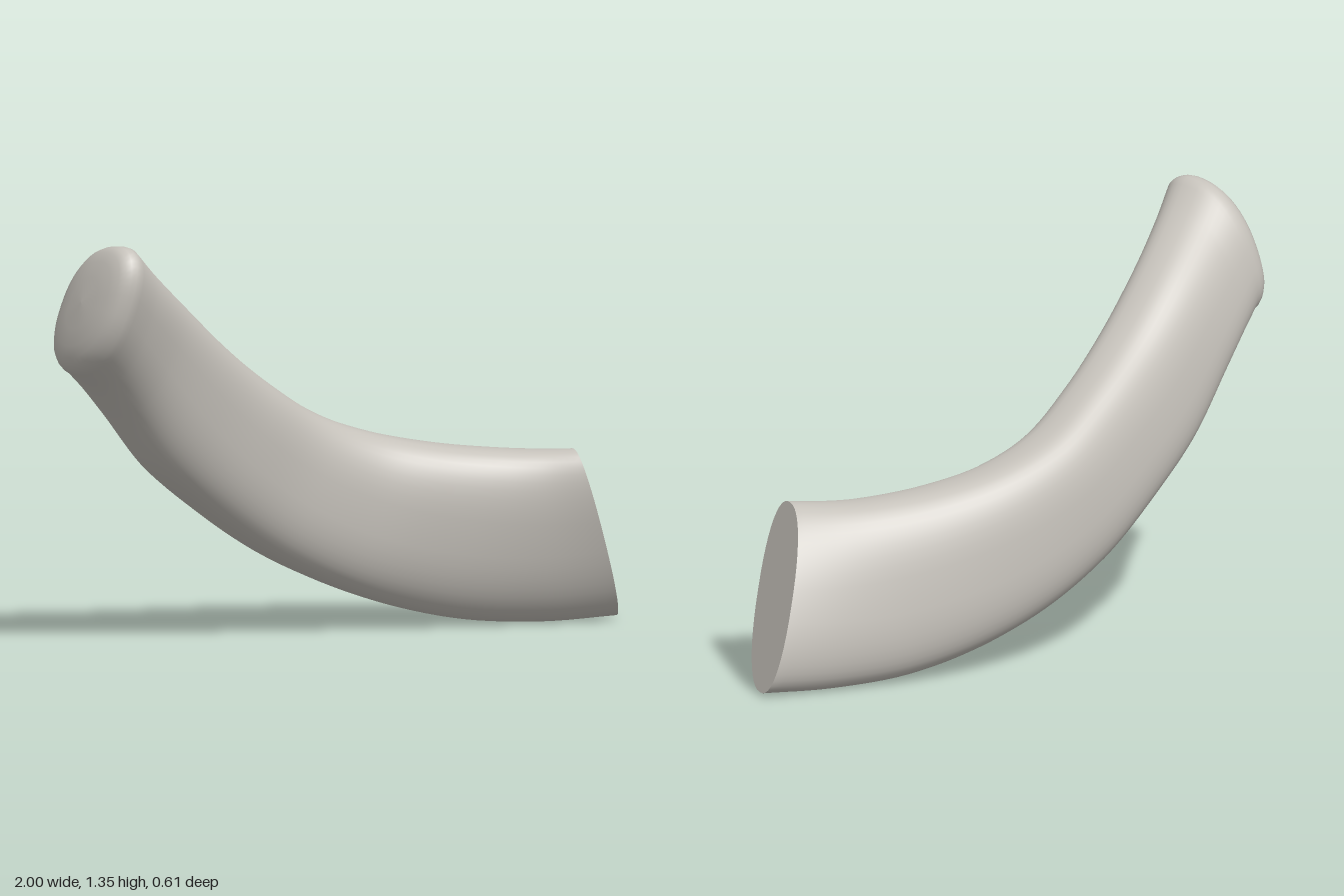
import * as THREE from 'three';

// Cross-sections along the bar: top point, bottom point, half-width vector towards the front
const SECTIONS = [
  [[-0.86, 1.345, 0.04], [-0.95, 0.93, -0.06], [0.008, 0.025, 0.162]],
  [[-0.77, 1.265, 0.005], [-0.87, 0.865, -0.085], [0.018, 0.02, 0.148]],
  [[-0.6, 1.13, -0.05], [-0.77, 0.765, -0.11], [0.022, 0.015, 0.138]],
  [[-0.4, 0.97, -0.095], [-0.61, 0.59, -0.135], [0.025, 0.01, 0.134]],
  [[-0.2, 0.835, -0.125], [-0.41, 0.435, -0.16], [0.015, 0, 0.136]],
  [[0, 0.72, -0.14], [-0.18, 0.285, -0.175], [0, 0, 0.14]],
  [[0.2, 0.645, -0.1], [0.05, 0.17, -0.165], [-0.03, 0, 0.14]],
  [[0.4, 0.6, -0.015], [0.28, 0.083, -0.12], [-0.055, 0, 0.135]],
  [[0.58, 0.58, 0.08], [0.52, 0.025, -0.045], [-0.062, 0, 0.128]],
  [[0.67, 0.577, 0.145], [0.76, 0.008, 0.05], [-0.056, 0, 0.126]],
  [[0.76, 0.58, 0.225], [0.985, 0.018, 0.135], [-0.05, 0, 0.122]],
];
const SIDES = 48;
const STEPS = 60;

// One ring of a superellipse; a lower power gives flatter sides
function ring([mid, up, wide, power], scale = 1) {
  const points = [];
  const soft = (v) => Math.sign(v) * Math.abs(v) ** power;
  for (let j = 0; j < SIDES; j++) {
    const a = (j / SIDES) * Math.PI * 2;
    points.push(mid.clone()
      .addScaledVector(wide, soft(Math.cos(a)) * scale)
      .addScaledVector(up, soft(Math.sin(a)) * scale));
  }
  return points;
}

// Skin a list of rings, ordered from the cut end to the rounded end
function skin(rings) {
  const index = [];
  for (let i = 0; i < rings.length - 1; i++) {
    for (let j = 0; j < SIDES; j++) {
      const k = (j + 1) % SIDES;
      const a = i * SIDES + j, b = i * SIDES + k;
      const c = a + SIDES, d = b + SIDES;
      index.push(a, b, c, b, d, c);
    }
  }
  const geometry = new THREE.BufferGeometry().setFromPoints(rings.flat());
  geometry.setIndex(index);
  geometry.computeVertexNormals();
  return geometry;
}

export function createModel() {
  const group = new THREE.Group();
  group.name = 'curvedBar';
  const grey = new THREE.MeshStandardMaterial({ color: 0xc6c2bb });
  grey.name = 'warm grey';
  grey.side = THREE.DoubleSide;

  const curves = [0, 1, 2].map((n) => new THREE.CatmullRomCurve3(
    SECTIONS.map((s) => new THREE.Vector3(...s[n]))));
  // Centre, half height, half width and roundness; the ends are rounder than the middle
  const frame = (t) => {
    const [top, bottom, wide] = curves.map((c) => c.getPoint(t));
    const mid = top.clone().add(bottom).multiplyScalar(0.5);
    const power = 0.86 - 0.11 * Math.sin(Math.PI * t);
    return [mid, top.sub(bottom).multiplyScalar(0.5), wide, power];
  };

  // Main body, from the cut end to the rounded end
  const rings = [];
  for (let i = 0; i <= STEPS; i++) rings.push(ring(frame(1 - i / STEPS)));

  // Rounded end cap
  const [mid, ...shape] = frame(0);
  const outward = new THREE.Vector3(-0.9, 0.42, -0.03).normalize();
  const caps = [[0.995, 0.016], [0.965, 0.034], [0.91, 0.05], [0.82, 0.063],
    [0.66, 0.074], [0.4, 0.083], [0.001, 0.087]];
  for (const [scale, push] of caps) {
    rings.push(ring([mid.clone().addScaledVector(outward, push), ...shape], scale));
  }
  const body = new THREE.Mesh(skin(rings), grey);
  body.name = 'body';
  group.add(body);

  // Flat slanted cut with a sharp rim
  const cut = new THREE.Mesh(skin([ring(frame(1), 0.0001), ring(frame(1))]), grey);
  cut.name = 'cutFace';
  group.add(cut);
  return group;
}
